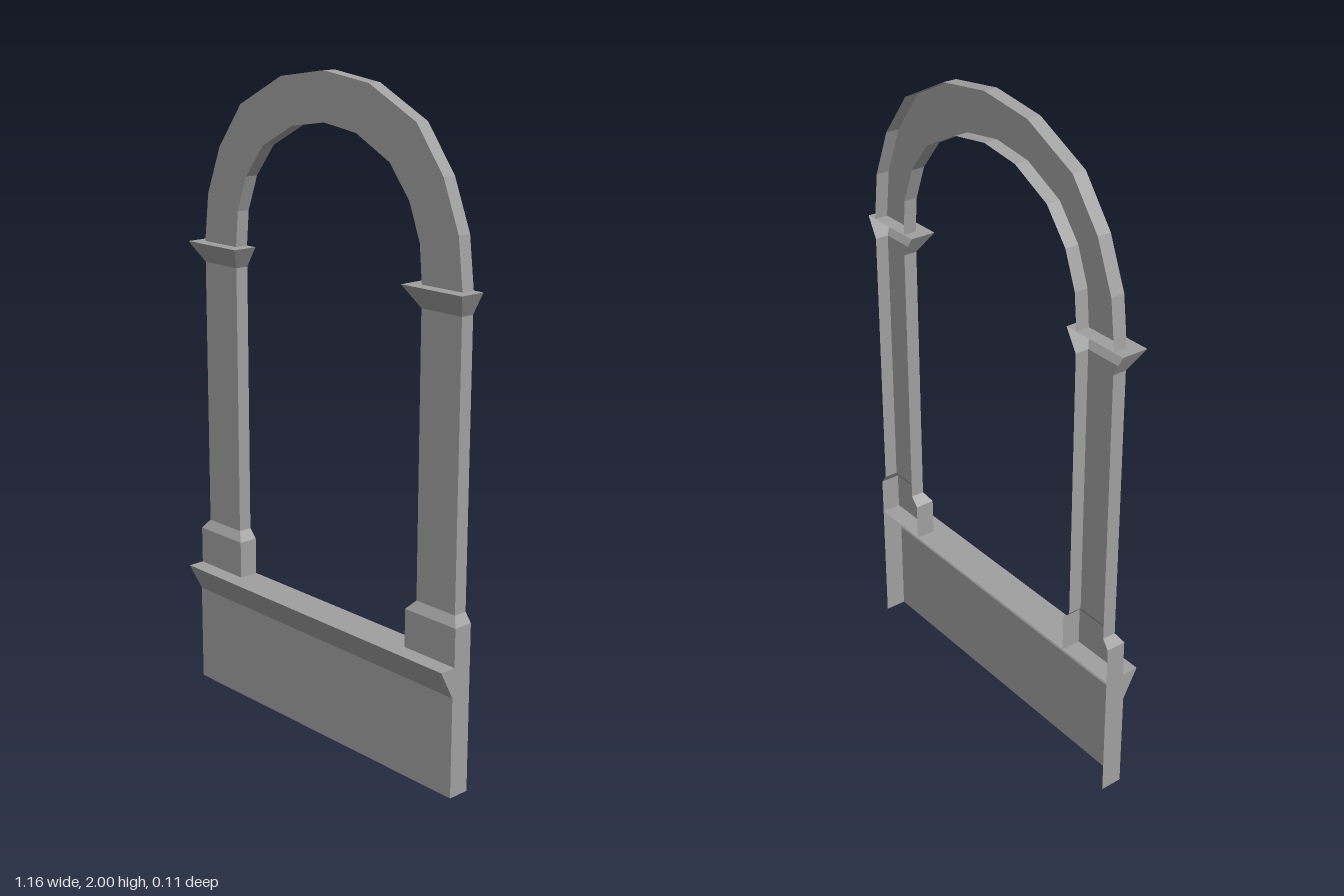
import * as THREE from 'three';

const BACK = -0.058;

// Skin of quads across consecutive cross-sections (open at the ends)
function loft(sections) {
  const pos = [];
  for (let i = 0; i < sections.length - 1; i++) {
    for (let j = 0; j < sections[i].length - 1; j++) {
      const a = sections[i][j], b = sections[i][j + 1];
      const c = sections[i + 1][j], d = sections[i + 1][j + 1];
      pos.push(...a, ...b, ...d, ...a, ...d, ...c);
    }
  }
  const geo = new THREE.BufferGeometry();
  geo.setAttribute('position', new THREE.Float32BufferAttribute(pos, 3));
  geo.computeVertexNormals();
  return geo;
}

// Open-backed three-sided section at height y
const channel = (x0, x1, y, front) => [[x0, y, BACK], [x0, y, front], [x1, y, front], [x1, y, BACK]];

export function createModel() {
  const group = new THREE.Group();
  const stone = new THREE.MeshStandardMaterial({ color: 0xa0a0a0, flatShading: true, side: THREE.DoubleSide });
  stone.name = 'grey stone';

  const add = (name, geo) => {
    const mesh = new THREE.Mesh(geo, stone);
    mesh.name = name;
    group.add(mesh);
    return mesh;
  };

  // Base panel with projecting sill: profile as [z, y], open at back and bottom
  const W = 0.565;
  const profile = [[BACK, 0.4], [0.057, 0.4], [0.01, 0.31], [0.01, 0]];
  add('basePanel', loft([-W, W].map(x => profile.map(([z, y]) => [x, y, z]))));
  const endShape = new THREE.Shape([...profile, [BACK, 0]].map(([z, y]) => new THREE.Vector2(-z, y)));
  for (const side of [-1, 1]) {
    const end = add(side > 0 ? 'baseEndLeft' : 'baseEndRight', new THREE.ShapeGeometry(endShape));
    end.rotation.y = Math.PI / 2;
    end.position.x = side * W;
  }

  for (const side of [-1, 1]) {
    const label = side > 0 ? 'Left' : 'Right';
    // Rows are [inner x, outer x, y, front z]
    const column = rows => loft(rows.map(([inner, outer, y, front]) =>
      side > 0 ? channel(inner, outer, y, front) : channel(-outer, -inner, y, front)));

    // Pedestal with bevelled shoulder
    add('pedestal' + label, column([
      [0.368, W, 0.4, 0.004], [0.368, W, 0.517, 0.004], [0.394, 0.544, 0.545, -0.015]]));
    // Pier
    add('pier' + label, column([[0.394, 0.544, 0.545, -0.015], [0.394, 0.544, 1.39, -0.015]]));
    // Flared capital and its lid
    add('capital' + label, column([[0.394, 0.544, 1.39, -0.015], [0.354, 0.579, 1.455, 0.024]]));
    const [x0, x1] = side > 0 ? [0.354, 0.579] : [-0.579, -0.354];
    add('capitalTop' + label, loft([0.024, BACK].map(z => [[x0, 1.455, z], [x1, 1.455, z]])));
  }

  // Arch: inner and outer points from springing to crown, mirrored
  const half = [
    [0.394, 1.455, 0.544, 1.455],
    [0.384, 1.565, 0.526, 1.603],
    [0.343, 1.673, 0.467, 1.75],
    [0.265, 1.77, 0.365, 1.884],
    [0.132, 1.838, 0.182, 1.975],
    [0, 1.857, 0, 2],
  ];
  const mirrored = half.slice(0, -1).reverse().map(([a, b, c, d]) => [-a, b, -c, d]);
  add('arch', loft([...half, ...mirrored].map(([ix, iy, ox, oy]) =>
    [[ix, iy, BACK], [ix, iy, -0.015], [ox, oy, -0.015], [ox, oy, BACK]])));

  return group;
}
